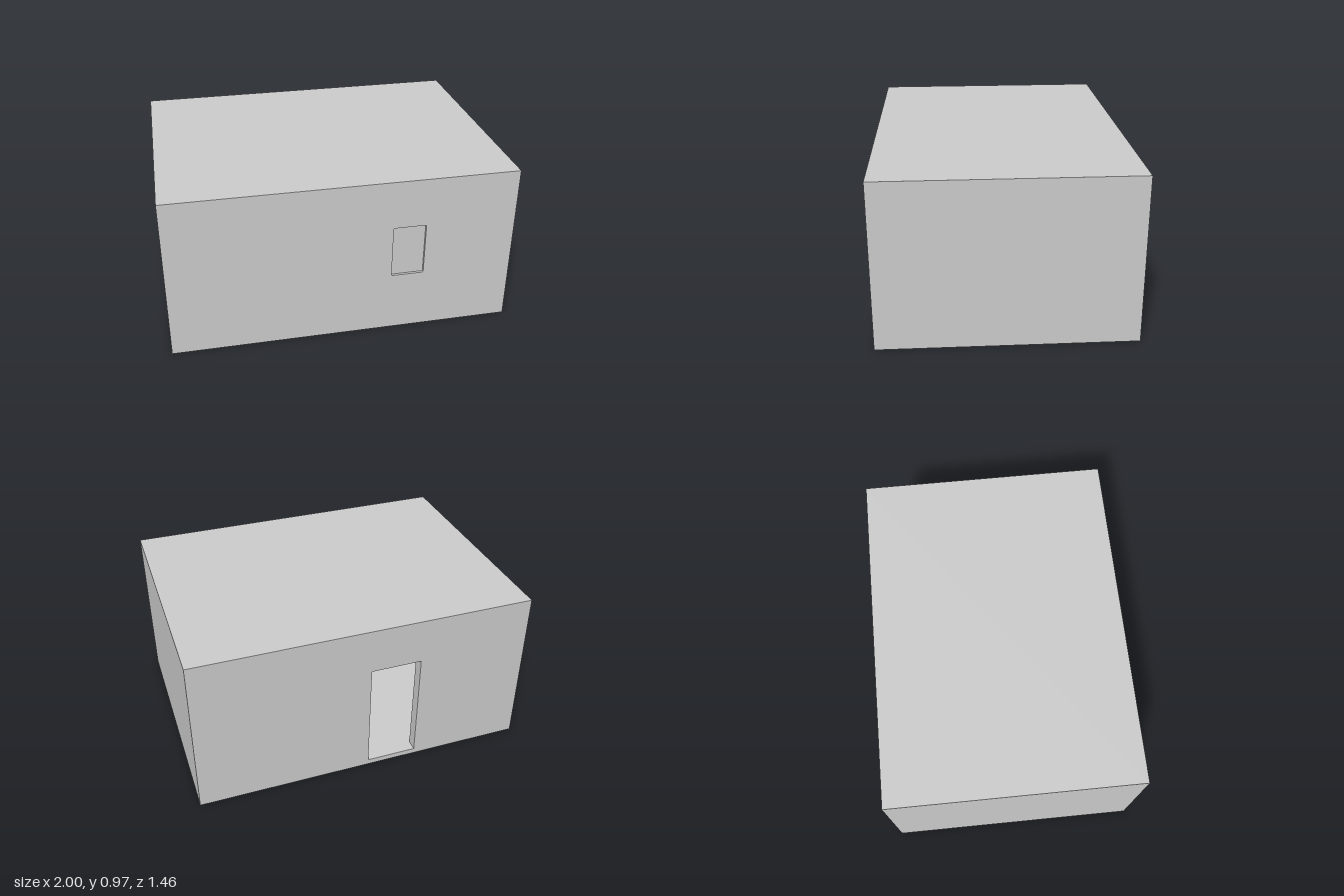
import * as THREE from 'three';

const W = 1, D = 0.73, H = 0.97;           // half width, half depth, height
const T = 0.067, FLOOR = 0.033;            // wall and ceiling thickness, floor thickness
const IW = W - T, ID = D - T, CEIL = H - T; // inner faces
const material = new THREE.MeshStandardMaterial({ color: 0xcccccc });

function add(parent, name, geometry) {
  const mesh = new THREE.Mesh(geometry, material);
  mesh.name = name;
  parent.add(mesh);
  return mesh;
}

const polygon = (points) => new THREE.Shape(points.map(([x, y]) => new THREE.Vector2(x, y)));
const rect = (x0, y0, x1, y1) => polygon([[x0, y0], [x1, y0], [x1, y1], [x0, y1]]);

// Rectangle with softened corners
function roundedRect(x0, y0, x1, y1, r) {
  const s = new THREE.Shape();
  s.absarc(x1 - r, y0 + r, r, -Math.PI / 2, 0);
  s.absarc(x1 - r, y1 - r, r, 0, Math.PI / 2);
  s.absarc(x0 + r, y1 - r, r, Math.PI / 2, Math.PI);
  s.absarc(x0 + r, y0 + r, r, Math.PI, Math.PI * 1.5);
  s.closePath();
  return s;
}

// Flat upright sheet at depth z, facing +z (dir 1) or -z (dir -1)
function sheet(shape, z, dir, hole) {
  if (hole) shape.holes.push(hole);
  const g = new THREE.ShapeGeometry(shape, 4).translate(0, 0, z);
  if (dir < 0) {
    const index = g.index.array;
    for (let i = 0; i < index.length; i += 3) [index[i], index[i + 1]] = [index[i + 1], index[i]];
    g.computeVertexNormals();
  }
  return g;
}

// Inward-facing lining of an opening, between depths z0 (back) and z1 (front)
function reveal(shape, z0, z1) {
  const pts = shape.getPoints(4);
  const pos = [];
  pts.forEach((a, i) => {
    const b = pts[(i + 1) % pts.length];
    if (a.distanceTo(b) < 1e-6) return;
    pos.push(a.x, a.y, z0, b.x, b.y, z1, b.x, b.y, z0);
    pos.push(a.x, a.y, z0, a.x, a.y, z1, b.x, b.y, z1);
  });
  const g = new THREE.BufferGeometry();
  g.setAttribute('position', new THREE.Float32BufferAttribute(pos, 3));
  g.computeVertexNormals();
  return g;
}

export function createModel() {
  const room = new THREE.Group();
  room.name = 'room';

  const [dx0, dx1, dTop] = [-0.33, -0.03, 0.7];
  const door = rect(dx0, FLOOR, dx1, dTop);
  const window = roundedRect(0.28, 0.365, 0.47, 0.68, 0.008);

  // Front wall with window opening
  add(room, 'frontWallOutside', sheet(rect(-W, 0, W, H), D, 1, window));
  add(room, 'frontWallInside', sheet(rect(-IW, FLOOR, IW, CEIL), ID, -1, window));
  add(room, 'windowReveal', reveal(window, ID, D));
  add(room, 'windowPaneOutside', sheet(window, D - 0.015, 1));
  add(room, 'windowPaneInside', sheet(window, ID + 0.015, -1));

  // Back wall with doorway; the inside sheet is notched down to the floor
  add(room, 'backWallOutside', sheet(rect(-W, 0, W, H), -D, -1, door));
  add(room, 'backWallInside', sheet(polygon([
    [-IW, FLOOR], [dx0, FLOOR], [dx0, dTop], [dx1, dTop],
    [dx1, FLOOR], [IW, FLOOR], [IW, CEIL], [-IW, CEIL],
  ]), -ID, 1));
  add(room, 'doorReveal', reveal(door, -D, -ID));

  // Side walls, outer and inner faces
  for (const side of [1, -1]) {
    const name = side > 0 ? 'leftWall' : 'rightWall';
    const outer = add(room, name + 'Outside', new THREE.PlaneGeometry(2 * D, H));
    outer.position.set(side * W, H / 2, 0);
    outer.rotation.y = side * Math.PI / 2;
    const inner = add(room, name + 'Inside', new THREE.PlaneGeometry(2 * ID, CEIL - FLOOR));
    inner.position.set(side * IW, (CEIL + FLOOR) / 2, 0);
    inner.rotation.y = -side * Math.PI / 2;
  }

  // Roof, ceiling, floor and underside
  for (const [name, w, d, y, up] of [
    ['roof', W, D, H, 1], ['ceiling', IW, ID, CEIL, -1],
    ['floor', IW, ID, FLOOR, 1], ['underside', W, D, 0, -1],
  ]) {
    const slab = add(room, name, new THREE.PlaneGeometry(2 * w, 2 * d));
    slab.position.y = y;
    slab.rotation.x = -up * Math.PI / 2;
  }

  return room;
}
